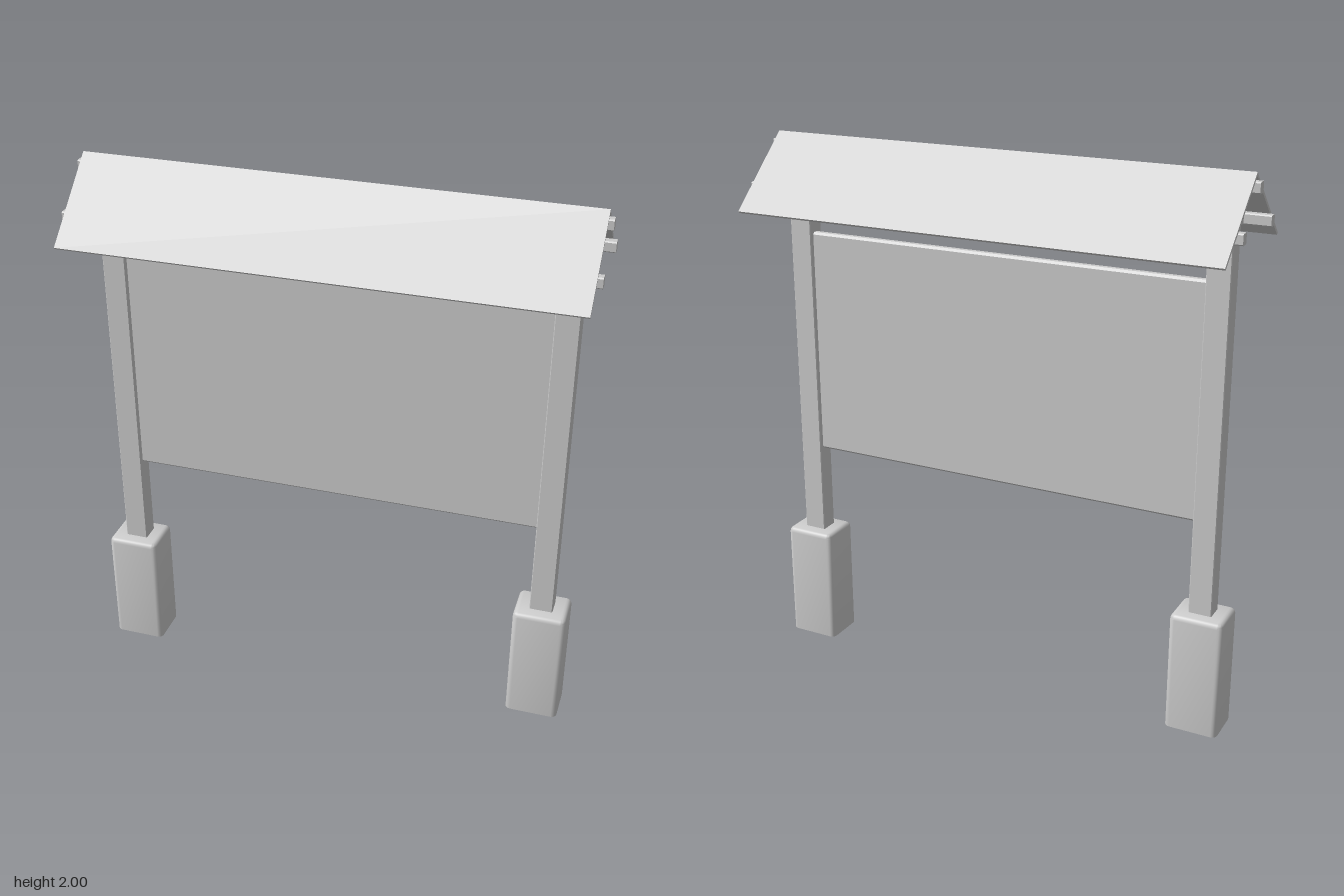
import * as THREE from 'three';
import { toCreasedNormals } from 'three/addons/utils/BufferGeometryUtils.js';

const material = new THREE.MeshStandardMaterial({ color: 0xcccccc });
const openMaterial = new THREE.MeshStandardMaterial({ color: 0xcccccc, side: THREE.DoubleSide });

function add(group, name, geometry, x, y, z, mat = material) {
  const mesh = new THREE.Mesh(geometry, mat);
  mesh.name = name;
  mesh.position.set(x, y, z);
  group.add(mesh);
  return mesh;
}

// Rectangle with its corners cut off, w by h, centred on the origin
function chamferedRect(w, h, c) {
  const a = w / 2, b = h / 2;
  return new THREE.Shape([
    [a, c - b], [a, b - c], [a - c, b], [c - a, b],
    [-a, b - c], [-a, c - b], [c - a, -b], [a - c, -b],
  ].map(([x, y]) => new THREE.Vector2(x, y)));
}

// Outline in the z-y plane, pushed out along x and centred
function extrudeAlongX(shape, length) {
  return new THREE.ExtrudeGeometry(shape, { depth: length, bevelEnabled: false })
    .translate(0, 0, -length / 2)
    .rotateY(Math.PI / 2);
}

// Footing: rounded block, open underneath, lofted from rounded rectangles
function footingGeometry(w, h, d, r) {
  const steps = 4, rings = [[0, r]];
  for (let i = 0; i <= steps; i++) {
    const t = (i / steps) * Math.PI / 2;
    rings.push([h - r + r * Math.sin(t), r * Math.cos(t)]);
  }
  const n = 4 * (steps + 1), positions = [], index = [];
  for (const [y, radius] of rings) {
    for (let q = 0; q < 4; q++) {
      const sx = q === 0 || q === 3 ? 1 : -1, sz = q < 2 ? 1 : -1;
      for (let i = 0; i <= steps; i++) {
        const a = (q + i / steps) * Math.PI / 2;
        positions.push(sx * (w / 2 - r) + radius * Math.cos(a), y, sz * (d / 2 - r) + radius * Math.sin(a));
      }
    }
  }
  for (let k = 0; k < rings.length - 1; k++) {
    for (let i = 0; i < n; i++) {
      const a = k * n + i, b = k * n + (i + 1) % n;
      index.push(a, a + n, b, b, a + n, b + n);
    }
  }
  // Flat top
  const top = (rings.length - 1) * n, centre = positions.length / 3;
  positions.push(0, h, 0);
  for (let i = 0; i < n; i++) index.push(centre, top + (i + 1) % n, top + i);
  const geometry = new THREE.BufferGeometry();
  geometry.setAttribute('position', new THREE.Float32BufferAttribute(positions, 3));
  geometry.setIndex(index);
  return toCreasedNormals(geometry, Math.PI / 5);
}

export function createModel() {
  const model = new THREE.Group();
  model.name = 'noticeBoard';

  // Post with chamfered top edges
  const postShape = chamferedRect(0.085, 0.07, 0.003);
  const postGeometry = new THREE.ExtrudeGeometry(postShape, {
    depth: 1.53, bevelThickness: 0.01, bevelSize: 0.008, bevelOffset: -0.008, bevelSegments: 1,
  }).rotateX(-Math.PI / 2);
  const footing = footingGeometry(0.195, 0.45, 0.163, 0.02);

  for (const side of [1, -1]) {
    const prefix = side > 0 ? 'left' : 'right';
    add(model, prefix + 'Footing', footing, side * 0.803, 0, 0, openMaterial);
    add(model, prefix + 'Post', postGeometry, side * 0.802, 0.4, 0);
    // Arm through the post, carrying the side purlins
    add(model, prefix + 'CrossArm', new THREE.BoxGeometry(0.04, 0.032, 0.27), side * 0.802, 1.82, 0);
  }

  // Display panel between the posts
  add(model, 'panel', extrudeAlongX(chamferedRect(0.034, 0.852, 0.008), 1.52), 0, 1.215, 0);

  // Purlins under the roof
  const purlin = extrudeAlongX(chamferedRect(0.033, 0.038, 0.004), 1.83);
  add(model, 'ridgePurlin', purlin, 0, 1.953, 0);
  add(model, 'frontPurlin', purlin, 0, 1.82, 0.147);
  add(model, 'backPurlin', purlin, 0, 1.82, -0.147);

  // Thin pitched roof
  const roofShape = new THREE.Shape([
    [0, 2], [-0.273, 1.754], [-0.266, 1.747], [0, 1.987], [0.266, 1.747], [0.273, 1.754],
  ].map(([x, y]) => new THREE.Vector2(x, y)));
  add(model, 'roof', extrudeAlongX(roofShape, 1.795), 0, 0, 0);

  return model;
}
